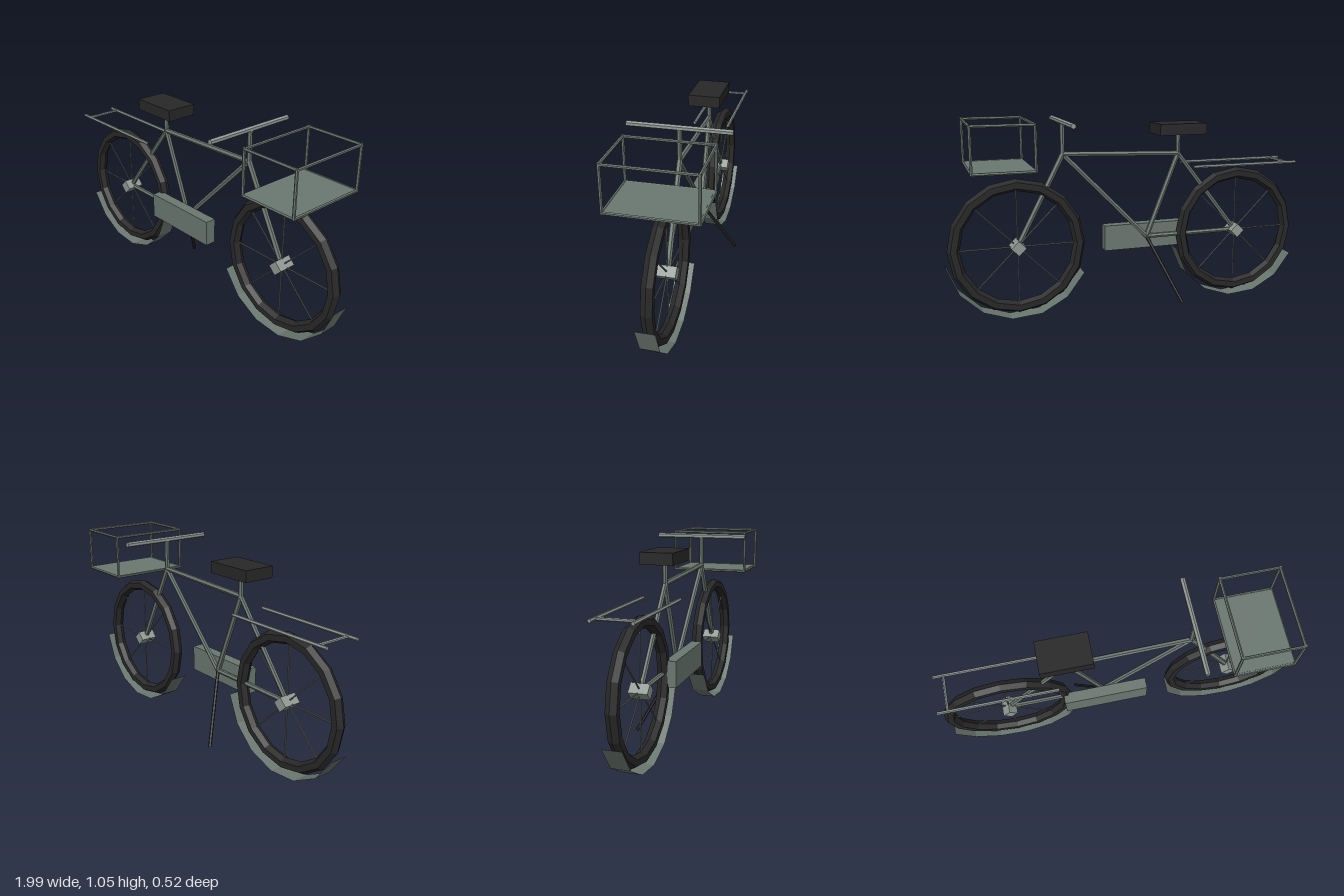
import * as THREE from 'three';

const flat = (name, color) => {
  const m = new THREE.MeshStandardMaterial({ color, flatShading: true });
  m.name = name;
  return m;
};

export function createModel() {
  const bike = new THREE.Group();
  bike.name = 'bicycle';

  const paint = flat('greyGreenPaint', 0x6b7871);
  const metal = flat('paleMetal', 0x8f9994);
  const rubber = flat('blackRubber', 0x282828);
  const fenderPaint = flat('fenderPaint', 0x6b7871);
  fenderPaint.side = THREE.DoubleSide;

  const add = (parent, name, geometry, material, x = 0, y = 0, z = 0) => {
    const mesh = new THREE.Mesh(geometry, material);
    mesh.name = name;
    mesh.position.set(x, y, z);
    parent.add(mesh);
    return mesh;
  };

  // Straight six-sided tube between two points
  const up = new THREE.Vector3(0, 1, 0);
  const tube = (parent, name, a, b, r, material) => {
    const p = new THREE.Vector3(...a), q = new THREE.Vector3(...b);
    const d = q.clone().sub(p);
    const mesh = add(parent, name, new THREE.CylinderGeometry(r, r, d.length(), 6), material);
    mesh.position.copy(p).add(q).multiplyScalar(0.5);
    mesh.quaternion.setFromUnitVectors(up, d.normalize());
  };

  const group = (name) => {
    const g = new THREE.Group();
    g.name = name;
    bike.add(g);
    return g;
  };

  // Wheels: tyre, spokes, square hub and the curved guard below
  const axleY = 0.383;
  const deg = Math.PI / 180;
  for (const [name, x] of [['rearWheel', -0.637], ['frontWheel', 0.617]]) {
    const wheel = group(name);
    wheel.position.set(x, axleY, 0);
    add(wheel, 'tyre', new THREE.TorusGeometry(0.331, 0.032, 6, 16), rubber);
    for (let i = 0; i < 4; i++) {
      const c = 0.31 * Math.cos(i * Math.PI / 4), s = 0.31 * Math.sin(i * Math.PI / 4);
      tube(wheel, 'spokePair', [-c, -s, 0], [c, s, 0], 0.004, paint);
    }
    add(wheel, 'hub', new THREE.CylinderGeometry(0.04, 0.04, 0.098, 4).rotateX(Math.PI / 2), metal);
    const guard = new THREE.CylinderGeometry(0.383, 0.383, 0.098, 6, 1, true, -65 * deg, 144 * deg);
    add(wheel, 'fender', guard.rotateX(Math.PI / 2), fenderPaint);
  }

  // Frame tubes meet at these joints
  const rear = [-0.637, axleY, 0], front = [0.617, axleY, 0];
  const crank = [-0.1, axleY, 0], seatTop = [-0.28, 0.84, 0], head = [0.367, 0.862, 0];
  const frame = group('frame');
  tube(frame, 'topTube', seatTop, head, 0.014, paint);
  tube(frame, 'seatTube', seatTop, crank, 0.014, paint);
  tube(frame, 'downTube', head, crank, 0.014, paint);
  tube(frame, 'chainStay', rear, crank, 0.013, paint);
  tube(frame, 'seatStay', rear, seatTop, 0.013, paint);
  tube(frame, 'fork', head, front, 0.015, paint);

  // Seat and handlebar
  tube(bike, 'seatPost', seatTop, [-0.28, 0.96, 0], 0.013, paint);
  add(bike, 'seat', new THREE.BoxGeometry(0.267, 0.06, 0.172), rubber, -0.28, 0.978, 0);
  tube(bike, 'stem', head, [0.367, 1.03, 0], 0.013, paint);
  tube(bike, 'handlebar', [0.367, 1.03, -0.26], [0.367, 1.03, 0.26], 0.014, metal);

  // Chain guard on the front side, kickstand on the far side
  add(bike, 'chainGuard', new THREE.BoxGeometry(0.462, 0.14, 0.06), paint, -0.095, 0.384, 0.042);
  tube(bike, 'kickstand', crank, [-0.25, 0.035, -0.174], 0.009, rubber);

  // Rear rack
  const rack = group('rearRack');
  for (const z of [-0.098, 0.098]) {
    tube(rack, 'rackRail', [-0.96, 0.774, z], [-0.337, 0.774, z], 0.009, metal);
  }
  tube(rack, 'rackCrossbar', [-0.905, 0.774, -0.098], [-0.905, 0.774, 0.098], 0.008, metal);

  // Front basket: wire box with a solid floor
  const basket = group('basket');
  const x0 = 0.546, x1 = 0.857, w = 0.217, y0 = 0.811, y1 = 1.04;
  add(basket, 'basketFloor', new THREE.BoxGeometry(x1 - x0, 0.01, 2 * w), paint, (x0 + x1) / 2, y0, 0);
  for (const y of [y0, y1]) {
    for (const z of [-w, w]) tube(basket, 'basketSideWire', [x0, y, z], [x1, y, z], 0.008, paint);
    for (const x of [x0, x1]) tube(basket, 'basketEndWire', [x, y, -w], [x, y, w], 0.008, paint);
  }
  for (const x of [x0, x1]) {
    for (const z of [-w, w]) tube(basket, 'basketPost', [x, y0 - 0.005, z], [x, y1 + 0.008, z], 0.008, paint);
  }

  return bike;
}
